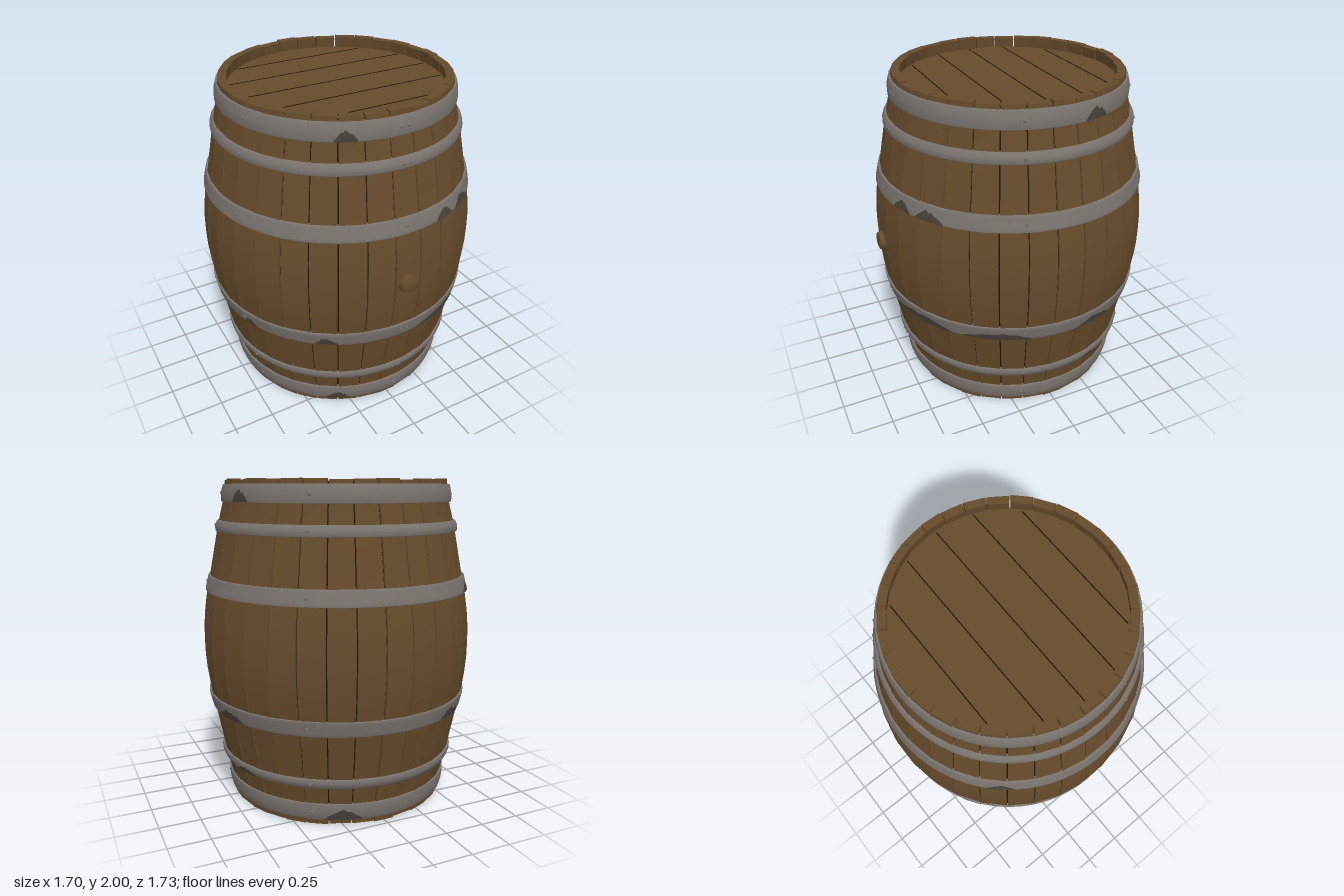
import * as THREE from 'three';

const mat = (name, color, extra = {}) => Object.assign(new THREE.MeshStandardMaterial({ color, ...extra }), { name });
const wood = mat('brown wood', 0x664b2c);
const gapDark = mat('dark gap', 0x1c140b);
const steel = mat('grey iron', 0x7a736e);
const rust = mat('tarnished iron', 0x48413b, { side: THREE.DoubleSide });

// Outer radius against distance from the middle height
const PROFILE = [[0, 0.851], [0.1, 0.849], [0.2, 0.84], [0.34, 0.819], [0.42, 0.8], [0.57, 0.771], [0.72, 0.742], [0.87, 0.705], [1, 0.689]];
function radius(y) {
  const t = Math.min(Math.abs(y - 1), 1);
  const i = Math.max(1, PROFILE.findIndex((p) => p[0] >= t));
  const [t0, r0] = PROFILE[i - 1], [t1, r1] = PROFILE[i];
  return r0 + (r1 - r0) * (t - t0) / (t1 - t0);
}
const LEVELS = [...PROFILE.map((p) => 1 - p[0]).reverse(), ...PROFILE.slice(1).map((p) => 1 + p[0])];
const polar = (a, r, y) => [Math.sin(a) * r, y, Math.cos(a) * r];

let seed = 7;
const rnd = () => (seed = (seed * 16807) % 2147483647) / 2147483647;

function addMesh(parent, name, geometry, material) {
  const mesh = new THREE.Mesh(geometry, material);
  mesh.name = name;
  parent.add(mesh);
  return mesh;
}

function build(pos, idx) {
  const g = new THREE.BufferGeometry();
  g.setAttribute('position', new THREE.Float32BufferAttribute(pos, 3));
  g.setIndex(idx);
  g.computeVertexNormals();
  return g;
}

// One bent plank: four long faces lofted along the height, plus two end caps
function staveGeometry(mid, width, outset, trim) {
  const pos = [], idx = [];
  const ring = (y) => {
    const r = radius(y) + outset, half = width / 2 - 0.004 / r;
    const yy = Math.min(Math.max(y, trim), 2 - trim);
    return [[-half, r], [half, r], [half, r - 0.05], [-half, r - 0.05]].map(([a, q]) => polar(mid + a, q, yy));
  };
  const rings = LEVELS.map(ring);
  for (let f = 0; f < 4; f++) {
    const base = pos.length / 3;
    rings.forEach((c, i) => {
      pos.push(...c[f], ...c[(f + 1) % 4]);
      if (i) {
        const k = base + 2 * i;
        idx.push(k - 2, k - 1, k + 1, k - 2, k + 1, k);
      }
    });
  }
  const bottom = pos.length / 3;
  pos.push(...rings[0].flat(), ...rings[rings.length - 1].flat());
  const top = bottom + 4;
  idx.push(bottom, bottom + 2, bottom + 1, bottom, bottom + 3, bottom + 2);
  idx.push(top, top + 1, top + 2, top, top + 2, top + 3);
  return build(pos, idx);
}

const HOOP_OUT = 0.012;
// Iron band following the slope of the staves
function hoopGeometry(y0, y1, bulge) {
  const pts = [[radius(y0) - 0.015, y0], [radius(y0) + HOOP_OUT - 0.003, y0]];
  for (let i = 0; i <= 6; i++) {
    const y = y0 + 0.003 + (y1 - y0 - 0.006) * i / 6;
    pts.push([radius(y) + HOOP_OUT + bulge * Math.sin(Math.PI * i / 6), y]);
  }
  pts.push([radius(y1) + HOOP_OUT - 0.003, y1], [radius(y1) - 0.015, y1]);
  return new THREE.LatheGeometry(pts.map((p) => new THREE.Vector2(...p)), 64);
}

// Thin ragged stain along the lower edge of a band, angles in degrees
function stainGeometry(y0, y1, bulge, from, to) {
  const pos = [], idx = [], n = 10, rows = 4;
  for (let i = 0; i <= n; i++) {
    const a = THREE.MathUtils.degToRad(from + (to - from) * i / n);
    const h = (y1 - y0) * (0.08 + 0.5 * Math.sin(Math.PI * i / n) * (0.75 + 0.5 * rnd()));
    for (let j = 0; j <= rows; j++) {
      const y = y0 + 0.004 + h * j / rows;
      const lift = bulge * Math.sin(Math.PI * (y - y0) / (y1 - y0));
      pos.push(...polar(a, radius(y) + HOOP_OUT + lift + 0.003, y));
      if (i && j) {
        const k = i * (rows + 1) + j, p = k - rows - 1;
        idx.push(p - 1, k - 1, k, p - 1, k, p);
      }
    }
  }
  return build(pos, idx);
}

export function createModel() {
  const model = new THREE.Group();
  model.name = 'barrel';
  const body = new THREE.Group();
  body.name = 'barrelBody';
  body.position.z = -0.015;
  model.add(body);

  // Staves
  const COUNT = 32, step = Math.PI * 2 / COUNT;
  const staves = new THREE.Group();
  staves.name = 'staves';
  body.add(staves);
  for (let i = 0; i < COUNT; i++) {
    const trim = i % 4 ? rnd() * 0.008 : 0;
    addMesh(staves, 'stave', staveGeometry(i * step, step, rnd() * 0.003, trim), wood);
  }
  // Dark lining seen through the gaps
  const lining = LEVELS.map((y) => new THREE.Vector2(radius(y) - 0.014, THREE.MathUtils.clamp(y, 0.02, 1.98)));
  addMesh(body, 'gapLining', new THREE.LatheGeometry(lining, 64), gapDark);

  // Heads, each with plank seams
  for (const [name, y, side] of [['topHead', 1.93, 1], ['bottomHead', 0.07, -1]]) {
    const head = new THREE.Group();
    head.name = name;
    head.position.y = y;
    body.add(head);
    addMesh(head, 'headBoards', new THREE.CylinderGeometry(0.655, 0.655, 0.04, 64), wood).position.y = -0.02 * side;
    for (let i = -2; i <= 2; i++) {
      const z = i * 0.23 - 0.005;
      const seam = addMesh(head, 'headSeam', new THREE.BoxGeometry(2 * Math.sqrt(0.635 ** 2 - z * z), 0.003, 0.006), gapDark);
      seam.position.set(0, 0.0005 * side, z);
    }
  }

  // Hoops: bottom, top, bulge, stain arcs
  const hoops = [
    [0.035, 0.14, 0.006, [[-34, -22], [150, 168]]],
    [0.25, 0.31, 0.006, [[102, 116]]],
    [0.59, 0.685, 0, [[8, 41], [46, 75], [96, 114], [-38, -28], [-72, -65], [205, 222]]],
    [1.325, 1.42, 0, [[14, 24], [27, 40], [222, 234]]],
    [1.69, 1.755, 0.006, []],
    [1.865, 1.97, 0.006, [[-30, -20], [100, 112]]],
  ];
  for (const [y0, y1, bulge, stains] of hoops) {
    const hoop = new THREE.Group();
    hoop.name = 'hoop';
    body.add(hoop);
    addMesh(hoop, 'hoopBand', hoopGeometry(y0, y1, bulge), steel);
    for (const [a, b] of stains) addMesh(hoop, 'hoopStain', stainGeometry(y0, y1, bulge, a, b), rust);

    // Rivets: a pair at the front joint, then singles around
    const y = (y0 + y1) / 2, r = radius(y) + HOOP_OUT + bulge;
    const angles = [-0.012 / r, 0.033 / r, ...[1, 2, 3, 4].map((k) => k * Math.PI * 0.4)];
    for (const a of angles) {
      const rivet = addMesh(hoop, 'rivet', new THREE.SphereGeometry(0.01, 10, 6), steel);
      rivet.position.set(...polar(a, r, y));
      rivet.rotation.y = a;
      rivet.scale.z = 0.6;
    }
  }

  // Bung at the front
  const bungProfile = [[0.06, 0], [0.06, 0.05], [0.055, 0.07], [0.05, 0.076], [0.03, 0.081], [0, 0.083]];
  const bung = addMesh(body, 'bung', new THREE.LatheGeometry(bungProfile.map((p) => new THREE.Vector2(...p)), 28), wood);
  bung.rotation.x = Math.PI / 2;
  bung.position.set(0, 1, 0.8);

  return model;
}
